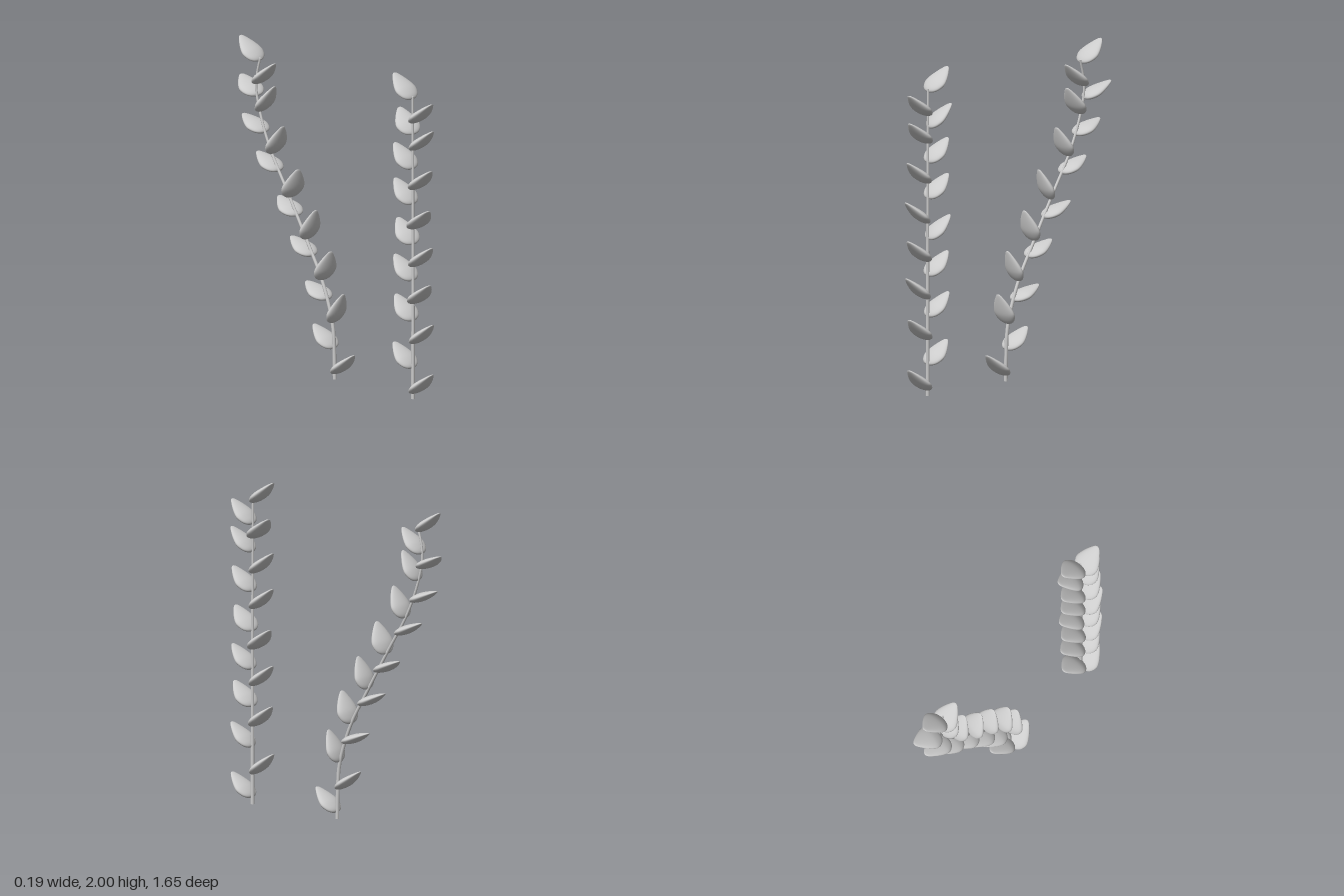
import * as THREE from 'three';

const material = new THREE.MeshStandardMaterial({ color: 0xcccccc, side: THREE.DoubleSide });
const LEAF_LENGTH = 0.21;

// Flattened teardrop leaf growing along +y from its base
function makeLeafGeometry() {
  const outline = new THREE.SplineCurve([
    [0, 0], [0.036, 0.008], [0.064, 0.03], [0.08, 0.066], [0.076, 0.1],
    [0.057, 0.143], [0.033, 0.182], [0.015, 0.204], [0, LEAF_LENGTH],
  ].map(([r, y]) => new THREE.Vector2(r, y)));
  const points = outline.getPoints(28);
  points.forEach((p) => { p.x = Math.max(p.x, 0); });
  const geometry = new THREE.LatheGeometry(points, 28);
  geometry.scale(1, 1, 0.33);
  return geometry;
}

// Tube along a curve, narrowing towards its top, with closed ends
function makeStem(curve) {
  const rows = 64, sides = 10, bottom = 0.012, top = 0.007;
  const stem = new THREE.Group();
  stem.name = 'stem';
  const geometry = new THREE.TubeGeometry(curve, rows, bottom, sides);
  const position = geometry.attributes.position;
  const v = new THREE.Vector3();
  for (let i = 0; i <= rows; i++) {
    const centre = curve.getPointAt(i / rows);
    const scale = THREE.MathUtils.lerp(1, top / bottom, i / rows);
    for (let j = 0; j <= sides; j++) {
      const k = i * (sides + 1) + j;
      v.fromBufferAttribute(position, k).sub(centre).multiplyScalar(scale).add(centre);
      position.setXYZ(k, v.x, v.y, v.z);
    }
  }
  const tube = new THREE.Mesh(geometry, material);
  tube.name = 'stemTube';
  stem.add(tube);
  [[0, bottom, -1], [1, top, 1]].forEach(([t, radius, sign]) => {
    const cap = new THREE.Mesh(new THREE.CircleGeometry(radius, sides), material);
    cap.name = 'stemEnd';
    cap.position.copy(curve.getPointAt(t));
    cap.quaternion.setFromUnitVectors(
      new THREE.Vector3(0, 0, 1), curve.getTangentAt(t).multiplyScalar(sign));
    stem.add(cap);
  });
  return stem;
}

// Leaf heights and slight sideways turns, shared by both vines
const FRONT_Y = [0.04, 0.35, 0.6, 0.83, 1.065, 1.31, 1.555, 1.725];
const BACK_Y = [0.19, 0.485, 0.735, 0.96, 1.21, 1.43, 1.645, 1.865];
const FRONT_TURN = [0, 0.03, -0.15, -0.04, -0.2, -0.06, 0.04, 0];
const BACK_TURN = [0, 0.1, 0.05, 0.2, 0.06, 0.05, 0.28, 0.03];

// Depth of a stem at a given height, found by bisection
function depthAt(curve, y) {
  let low = 0, high = 1;
  for (let i = 0; i < 30; i++) {
    const mid = (low + high) / 2;
    if (curve.getPoint(mid).y < y) low = mid; else high = mid;
  }
  return curve.getPoint(low).z;
}

// One vine: a stem with leaves alternating front and back
function makeVine(name, points, frontAngles, backAngles, leafGeometry) {
  const vine = new THREE.Group();
  vine.name = name;
  const curve = new THREE.CatmullRomCurve3(points.map(([z, y]) => new THREE.Vector3(0, y, z)));
  vine.add(makeStem(curve));

  const addLeaf = (leafName, y, angle, side, turn) => {
    const leaf = new THREE.Mesh(leafGeometry, material);
    leaf.name = leafName;
    leaf.position.set(0, y, depthAt(curve, y) + side * 0.002);
    leaf.rotation.order = 'YXZ';
    leaf.rotation.x = THREE.MathUtils.degToRad(90 - angle);
    leaf.rotation.y = side > 0 ? turn : Math.PI - turn;
    vine.add(leaf);
  };
  FRONT_Y.forEach((y, i) => addLeaf('frontLeaf', y, frontAngles[i], 1, FRONT_TURN[i]));
  BACK_Y.forEach((y, i) => addLeaf('backLeaf', y, backAngles[i], -1, BACK_TURN[i]));
  return vine;
}

export function createModel() {
  const model = new THREE.Group();
  model.name = 'leafyVines';
  const leafGeometry = makeLeafGeometry();

  // Upright vine at the front
  const upright = Array(8).fill(41);
  model.add(makeVine('straightVine', [[0.67, 0], [0.67, 0.95], [0.667, 1.885]],
    upright, upright, leafGeometry));

  // Vine that leans towards the back and curls upright again
  model.add(makeVine('curvedVine',
    [[0.013, 0], [0.01, 0.15], [-0.005, 0.34], [-0.09, 0.59], [-0.22, 0.82], [-0.38, 1.09],
      [-0.525, 1.33], [-0.605, 1.52], [-0.645, 1.68], [-0.64, 1.78], [-0.613, 1.885]],
    [41, 66, 67, 68, 66, 63, 56, 44],
    [36, 22, 25, 24, 25, 23, 27, 39], leafGeometry));
  return model;
}
